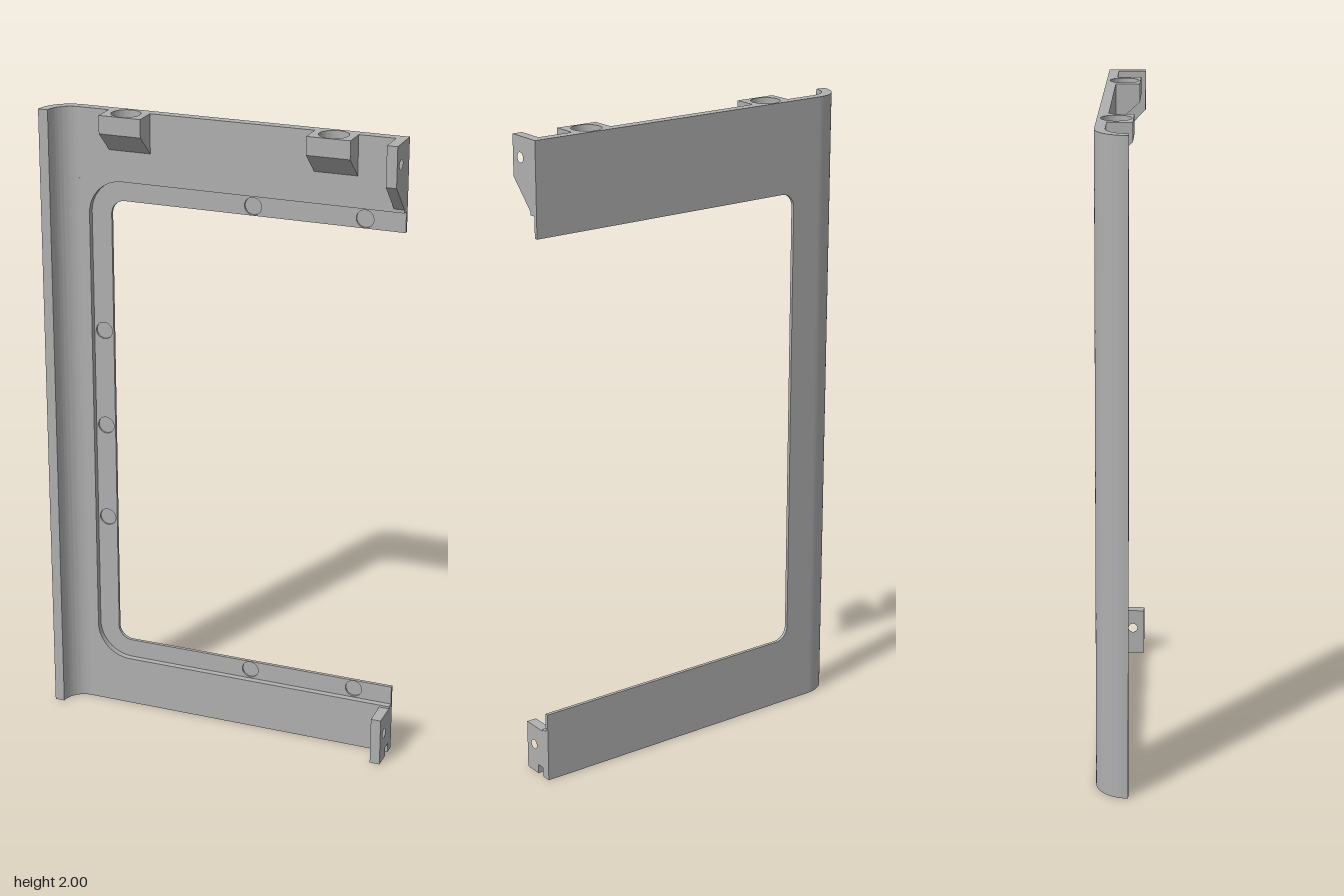
import * as THREE from 'three';
import { toCreasedNormals } from 'three/addons/utils/BufferGeometryUtils.js';

const BACK = -0.058, FRONT = -0.027;   // faces of the flat plate
const LEFT = -0.465, RIGHT = 0.565;    // ends of the flat plate
const SEAT = 1.955;                    // floor of the sockets in the top edge

function createModel() {
  const group = new THREE.Group();
  group.name = 'bracketFrame';
  const grey = new THREE.MeshStandardMaterial({ color: 0xb0b0b0 });
  grey.name = 'grey';

  // Extrude along z, y (shape drawn as x, -z) or x (shape drawn as -z, y)
  function extrude(name, shape, axis, from, to) {
    let geo = new THREE.ExtrudeGeometry(shape, { depth: to - from, bevelEnabled: false, curveSegments: 20 });
    geo.translate(0, 0, from);
    if (axis === 'y') geo.rotateX(-Math.PI / 2);
    if (axis === 'x') geo.rotateY(Math.PI / 2);
    geo = toCreasedNormals(geo, 0.5);
    const mesh = new THREE.Mesh(geo, grey);
    mesh.name = name;
    group.add(mesh);
  }
  const polygon = (pts) => new THREE.Shape(pts.map(([x, y]) => new THREE.Vector2(x, y)));
  const sideProfile = (pts) => polygon(pts.map(([z, y]) => [-z, y]));
  function drill(shape, x, y, r) {
    const hole = new THREE.Path();
    hole.absarc(x, y, r, 0, Math.PI * 2, true);
    shape.holes.push(hole);
  }

  // C-shaped sheet, open on the +x side, with rounded inner corners
  function cShape(x, y0, y1, r) {
    const s = new THREE.Shape();
    s.moveTo(LEFT, 0);
    s.lineTo(RIGHT, 0);
    s.lineTo(RIGHT, y0);
    s.lineTo(x + r, y0);
    s.absarc(x + r, y0 + r, r, -Math.PI / 2, -Math.PI, true);
    s.lineTo(x, y1 - r);
    s.absarc(x + r, y1 - r, r, Math.PI, Math.PI / 2, true);
    s.lineTo(RIGHT, y1);
    s.lineTo(RIGHT, SEAT);
    s.lineTo(LEFT, SEAT);
    s.closePath();
    return s;
  }

  // Back skin, ledge with shallow round pockets, and thicker front layer
  extrude('backSkin', cShape(-0.37, 0.222, 1.715, 0.045), 'z', BACK, -0.053);
  const ledge = cShape(-0.37, 0.222, 1.715, 0.045);
  for (const x of [0.09, 0.44]) for (const y of [0.193, 1.744]) drill(ledge, x, y, 0.027);
  for (const y of [0.652, 0.97, 1.288]) drill(ledge, -0.402, y, 0.027);
  extrude('pocketedLedge', ledge, 'z', -0.053, -0.047);
  extrude('frontPlate', cShape(-0.435, 0.162, 1.78, 0.11), 'z', -0.047, FRONT);

  // Curled long edge
  const curl = new THREE.Shape();
  curl.absarc(LEFT, -0.042, 0.1, Math.PI / 2, Math.PI, false);
  curl.lineTo(LEFT - 0.069, -0.042);
  curl.absarc(LEFT, -0.042, 0.069, Math.PI, Math.PI / 2, true);
  curl.closePath();
  extrude('curledEdge', curl, 'y', 0, 2);

  // Top strip with two socket bosses
  const bosses = [-0.298, 0.354], half = 0.067, bossFront = 0.047;
  const outline = [[LEFT, -BACK], [LEFT, -FRONT]];
  for (const x of bosses) {
    outline.push([x - half, -FRONT], [x - half, -bossFront], [x + half, -bossFront], [x + half, -FRONT]);
  }
  outline.push([RIGHT, -FRONT], [RIGHT, -BACK]);
  const strip = polygon(outline);
  for (const x of bosses) drill(strip, x, 0.003, 0.045);
  extrude('topStrip', strip, 'y', SEAT, 2);

  // Sloped undersides of the bosses
  for (const x of bosses) {
    extrude('bossBase', sideProfile([[FRONT, SEAT], [FRONT, 1.877], [bossFront, 1.944], [bossFront, SEAT]]),
      'x', x - half, x + half);
  }

  // End flanges with screw holes
  const topFlange = sideProfile([[FRONT, 2], [FRONT, 1.79], [0.058, 1.877], [0.058, 2]]);
  drill(topFlange, -0.02, 1.938, 0.015);
  extrude('topFlange', topFlange, 'x', 0.533, RIGHT);
  const bottomFlange = sideProfile([[FRONT, 0.155], [FRONT, 0.03], [0, 0.03], [0, 0], [0.058, 0], [0.058, 0.155]]);
  drill(bottomFlange, -0.02, 0.092, 0.015);
  extrude('bottomFlange', bottomFlange, 'x', 0.533, RIGHT);

  return group;
}

export { createModel };
